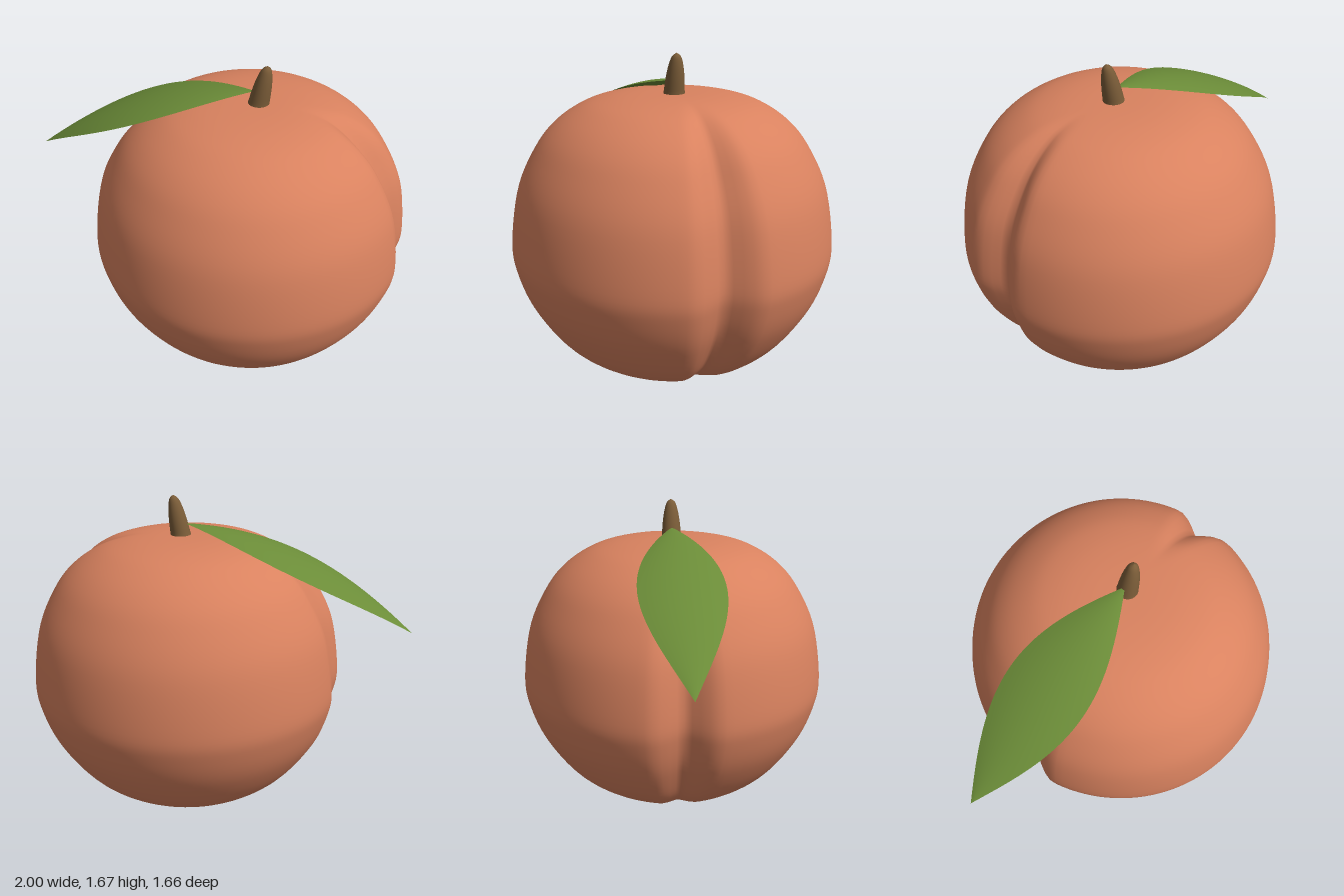
import * as THREE from 'three';
import { mergeVertices } from 'three/addons/utils/BufferGeometryUtils.js';

const CENTER_X = 0.19;
const v2 = (p) => new THREE.Vector2(p[0], p[1]);

// Move every vertex by a rule, then weld and smooth the normals
function reshape(geometry, rule) {
  const pos = geometry.attributes.position;
  const v = new THREE.Vector3();
  for (let i = 0; i < pos.count; i++) {
    v.fromBufferAttribute(pos, i);
    rule(v);
    pos.setXYZ(i, v.x, v.y, v.z);
  }
  geometry.deleteAttribute('uv');
  geometry.deleteAttribute('normal');
  const welded = mergeVertices(geometry, 1e-5);
  welded.computeVertexNormals();
  return welded;
}

function lathe(profile, steps, segments) {
  const points = new THREE.SplineCurve(profile.map(v2)).getPoints(steps);
  points.forEach((p) => { p.x = Math.max(p.x, 0); });
  points[0].x = points[points.length - 1].x = 0;
  return new THREE.LatheGeometry(points, segments);
}

// Round fruit with a crease down both the +x and -x sides
function fruitGeometry() {
  const profile = [
    [0, 0], [0.2, 0.012], [0.4, 0.065], [0.6, 0.2], [0.745, 0.4],
    [0.815, 0.58], [0.83, 0.73], [0.785, 1.0], [0.69, 1.2], [0.59, 1.32],
    [0.46, 1.405], [0.33, 1.446], [0.18, 1.464], [0, 1.467],
  ];
  return reshape(lathe(profile, 72, 128), (v) => {
    const r = Math.hypot(v.x, v.z);
    if (r < 1e-4) return;
    const angle = Math.atan2(Math.abs(v.z), Math.abs(v.x));
    const fade = THREE.MathUtils.smoothstep(r, 0.15, 0.7);
    const groove = 1 - THREE.MathUtils.smoothstep(angle, -0.04, 0.23);
    const k = 1 - (0.102 * fade * groove) / r;
    v.x *= k;
    v.z *= k;
  });
}

// Short rounded stem leaning toward +x
function stemGeometry() {
  const profile = [
    [0, 1.42], [0.054, 1.43], [0.052, 1.48], [0.046, 1.55],
    [0.036, 1.61], [0.022, 1.652], [0, 1.67],
  ];
  return reshape(lathe(profile, 32, 32), (v) => {
    v.x += 0.215 + (v.y - 1.45) * 0.18;
  });
}

// Pointed leaf that bends down along its length and droops at the edges
function leafGeometry() {
  const sheet = new THREE.PlaneGeometry(1, 1, 40, 12).rotateX(-Math.PI / 2);
  return reshape(sheet, (v) => {
    const t = 0.5 - v.x;
    const across = v.z * 2;
    const width = 0.214 * Math.sin(Math.PI * t) + 0.004 * (1 - t);
    v.x = 0.19 - 1.19 * t;
    v.y = 1.525 - 0.07 * t - 0.44 * t * t
      - 0.035 * Math.sin(Math.PI * t) * across * across;
    v.z = across * width;
  });
}

export function createModel() {
  const skin = new THREE.MeshStandardMaterial({ color: 0xd9825f });
  skin.name = 'peach skin';
  const bark = new THREE.MeshStandardMaterial({ color: 0x7a5c38 });
  bark.name = 'stem brown';
  const green = new THREE.MeshStandardMaterial({ color: 0x6b8c38, side: THREE.DoubleSide });
  green.name = 'leaf green';

  const group = new THREE.Group();
  group.name = 'peach';
  const add = (name, geometry, material) => {
    const mesh = new THREE.Mesh(geometry, material);
    mesh.name = name;
    group.add(mesh);
    return mesh;
  };
  add('fruit', fruitGeometry(), skin).position.x = CENTER_X;
  add('stem', stemGeometry(), bark);
  add('leaf', leafGeometry(), green);
  return group;
}
